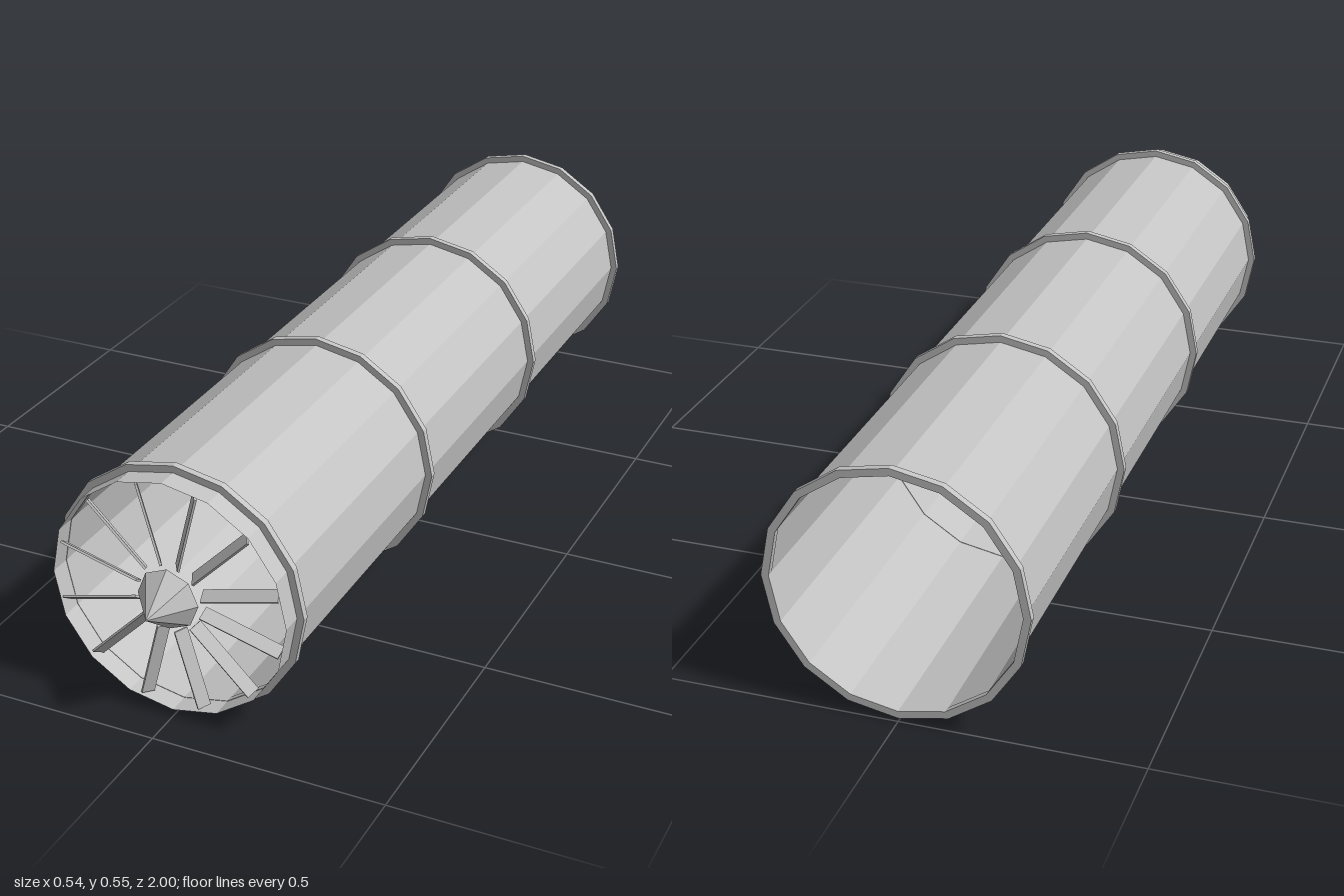
import * as THREE from 'three';

const SIDES = 16;
const TUBE_RADIUS = 0.257;
const RING_RADIUS = 0.272;

export function createModel() {
  const model = new THREE.Group();
  model.name = 'ductedFan';

  const metal = new THREE.MeshStandardMaterial({ color: 0xc4c4c4, flatShading: true, side: THREE.DoubleSide });
  metal.name = 'light grey metal';

  // The whole duct rises very slightly towards the back
  const duct = new THREE.Group();
  duct.name = 'duct';
  duct.position.y = 0.2765;
  duct.rotation.x = 0.004;
  model.add(duct);

  const add = (name, geometry, parent = duct) => {
    const mesh = new THREE.Mesh(geometry, metal);
    mesh.name = name;
    parent.add(mesh);
    return mesh;
  };

  // Thin open tube along z
  const front = 0.918, back = -0.995;
  add('tube', new THREE.CylinderGeometry(TUBE_RADIUS, TUBE_RADIUS, front - back, SIDES, 1, true)
    .rotateX(Math.PI / 2)).position.z = (front + back) / 2;

  // Four raised bands
  const half = 0.0075, inner = TUBE_RADIUS - 0.001;
  const section = [[inner, -half], [RING_RADIUS, -half], [RING_RADIUS, half], [inner, half], [inner, -half]]
    .map(([r, y]) => new THREE.Vector2(r, y));
  const ringGeometry = new THREE.LatheGeometry(section, SIDES).rotateX(Math.PI / 2);
  [0.865, 0.247, -0.371, -0.9915].forEach((z, i) => {
    add('band' + (i + 1), ringGeometry).position.z = z;
  });

  // Pointed eight-sided hub
  add('hubCone', new THREE.ConeGeometry(0.067, 0.085, 8).rotateX(Math.PI / 2)).position.z = 0.9575;

  // Twelve pitched blades between hub and tube
  const blades = new THREE.Group();
  blades.name = 'blades';
  blades.position.z = 0.905;
  duct.add(blades);
  const pitch = THREE.MathUtils.degToRad(35);
  const bladeGeometry = new THREE.BoxGeometry(0.174, 0.005, 0.028)
    .rotateX(Math.PI / 2 - (Math.PI / 2 - pitch))
    .translate(0.16, 0, 0);
  for (let i = 0; i < 12; i++) {
    add('blade' + (i + 1), bladeGeometry, blades).rotation.z = THREE.MathUtils.degToRad(15 + 30 * i);
  }

  return model;
}
